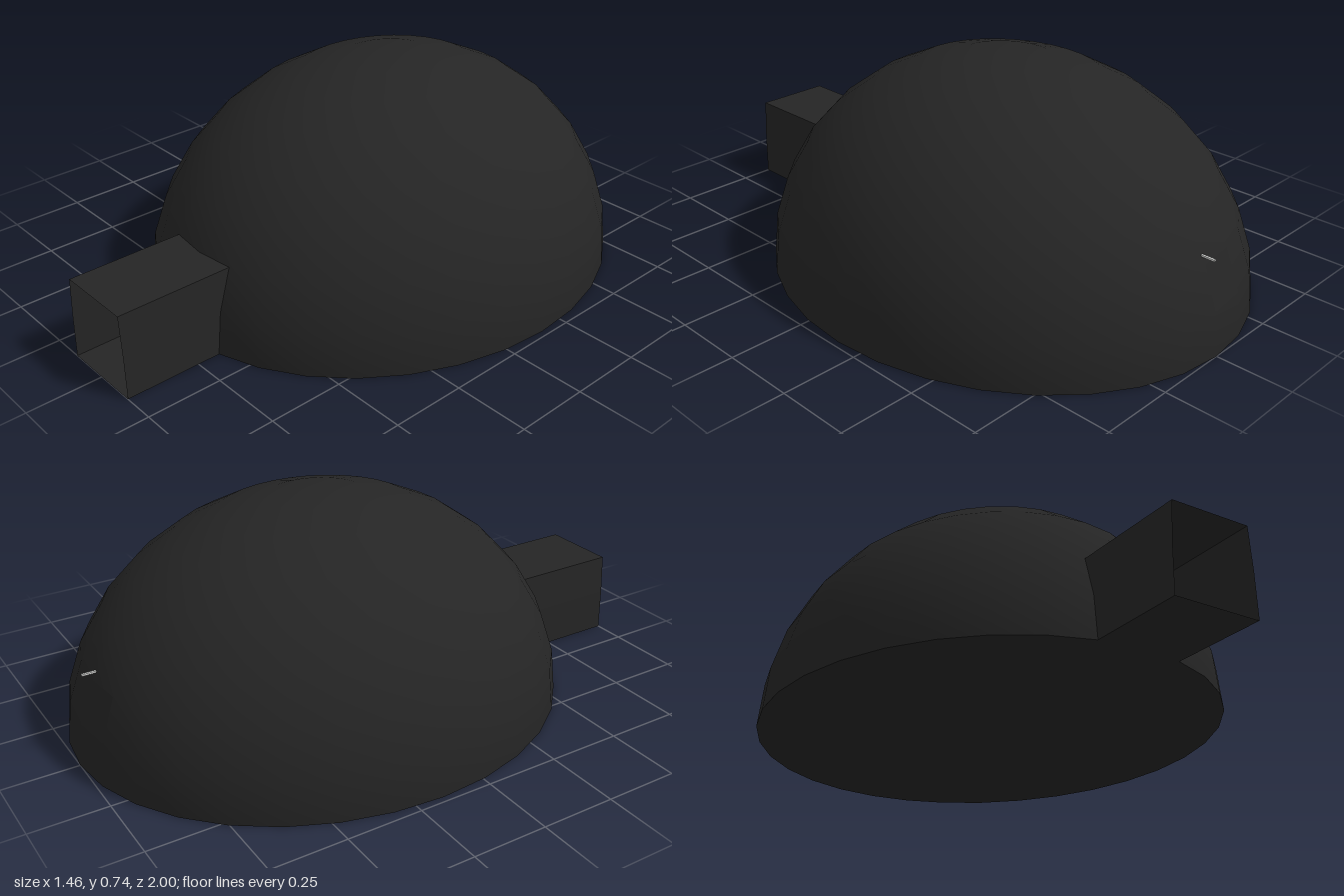
import * as THREE from 'three';

const RX = 0.73, RY = 0.735, RZ = 0.845, CZ = -0.155;
const STEP = Math.PI / 16; // 32 columns round, 8 rows up

// Point on the dome: columns counted from the front towards +x, rows from the ground
function domePoint(col, row) {
  const a = col * STEP, e = row * STEP;
  return [RX * Math.sin(a) * Math.cos(e), RY * Math.sin(e), CZ + RZ * Math.cos(a) * Math.cos(e)];
}

// Flat-sided surface from quads, each given as four corners
function quads(list) {
  const pos = [];
  for (const [a, b, c, d] of list) pos.push(...a, ...b, ...c, ...a, ...c, ...d);
  const g = new THREE.BufferGeometry();
  g.setAttribute('position', new THREE.Float32BufferAttribute(pos, 3));
  g.computeVertexNormals();
  return g;
}

export function createModel() {
  const charcoal = new THREE.MeshStandardMaterial({ color: 0x252525, side: THREE.DoubleSide });
  charcoal.name = 'charcoal';
  const paleGrey = new THREE.MeshStandardMaterial({ color: 0xd8d9d7, side: THREE.DoubleSide });
  paleGrey.name = 'paleGrey';

  const group = new THREE.Group();
  const add = (name, geometry, material) => {
    const mesh = new THREE.Mesh(geometry, material);
    mesh.name = name;
    group.add(mesh);
    return mesh;
  };

  // Smooth dome, with openings left for the tunnel and the rear hatch
  const dome = new THREE.SphereGeometry(1, 32, 8, 0, Math.PI * 2, 0, Math.PI / 2);
  dome.scale(RX, RY, RZ).translate(0, 0, CZ);
  const p = dome.attributes.position, idx = dome.index.array, kept = [];
  for (let i = 0; i < idx.length; i += 3) {
    const t = [idx[i], idx[i + 1], idx[i + 2]];
    const x = t.reduce((s, k) => s + p.getX(k), 0) / 3;
    const y = t.reduce((s, k) => s + p.getY(k), 0) / 3;
    const z = t.reduce((s, k) => s + p.getZ(k), 0) / 3;
    const tunnelHole = z > 0.5 && Math.abs(x) < 0.125 && y < 0.28;
    const hatchHole = z < -0.8 && x < 0 && x > -0.125 && y > 0.145 && y < 0.28;
    if (!tunnelHole && !hatchHole) kept.push(...t);
  }
  dome.setIndex(kept);
  add('dome', dome, charcoal);

  // Ground plate
  const floor = new THREE.CircleGeometry(1, 32);
  floor.rotateX(Math.PI / 2).scale(RX, 1, RZ).translate(0, 0, CZ);
  add('floor', floor, charcoal);

  // Entrance tunnel drawn forward from the dome opening
  const rim = [[1, 0], [1, 1], [1, 2], [0, 2], [-1, 2], [-1, 1], [-1, 0], [0, 0]];
  const panels = rim.map((r, i) => {
    const a = domePoint(...r), b = domePoint(...rim[(i + 1) % rim.length]);
    return [a, [a[0], a[1], 1], [b[0], b[1], 1], b];
  });
  add('entranceTunnel', quads(panels), charcoal);

  // Rear hatch and its small handle
  add('rearHatch', quads([[domePoint(16, 1), domePoint(17, 1), domePoint(17, 2), domePoint(16, 2)]]), charcoal);
  add('hatchHandle', new THREE.BoxGeometry(0.008, 0.006, 0.045), paleGrey).position.set(0, 0.305, -0.943);

  // Pale panel inside, seen through the tunnel
  add('innerPanel', new THREE.BoxGeometry(0.5, 0.1, 0.008), paleGrey).position.set(0, 0.295, -0.2);

  return group;
}
